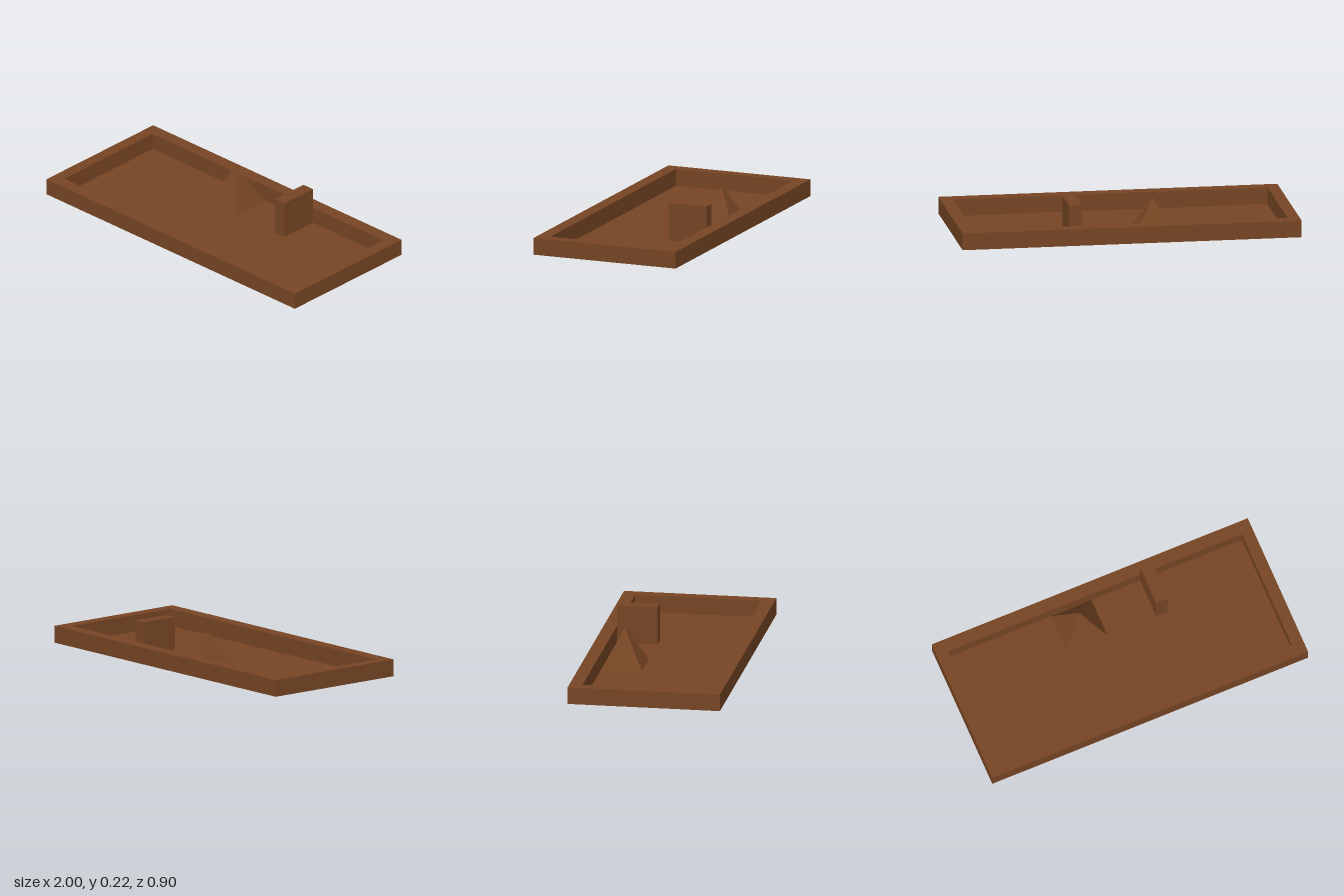
import * as THREE from 'three';

// Rectangles on the ground plane: [x0, x1, z0, z1]
const OUTER = [-1, 1, -0.45, 0.45];
const INNER = [-0.93, 0.93, -0.373, 0.373];
const PYRAMID = [-0.28, -0.022, -0.372, -0.132];
const BLOCK = [0.285, 0.36, -0.372, -0.132];
const RIM_Y = 0.1;
const PEAK_Y = 0.225;

function rectPoints([x0, x1, z0, z1]) {
  return [[x0, -z1], [x1, -z1], [x1, -z0], [x0, -z0]].map(([x, y]) => new THREE.Vector2(x, y));
}

// Horizontal sheet at height y with rectangular openings
function sheet(rect, y, openings = []) {
  const shape = new THREE.Shape(rectPoints(rect));
  for (const o of openings) shape.holes.push(new THREE.Path(rectPoints(o).reverse()));
  return new THREE.ShapeGeometry(shape).rotateX(-Math.PI / 2).translate(0, y, 0);
}

// Four walls without caps, rising from y = 0; taper 0 brings them to a point
function walls([x0, x1, z0, z1], height, taper = 1) {
  const geo = new THREE.CylinderGeometry(Math.SQRT1_2 * taper, Math.SQRT1_2, 1, 4, 1, true)
    .rotateY(Math.PI / 4)
    .scale(x1 - x0, height, z1 - z0)
    .translate((x0 + x1) / 2, height / 2, (z0 + z1) / 2)
    .toNonIndexed();
  geo.computeVertexNormals();
  return geo;
}

export function createModel() {
  const model = new THREE.Group();
  model.name = 'tray';
  const brown = new THREE.MeshStandardMaterial({ color: 0x764524, side: THREE.DoubleSide });
  brown.name = 'brown';

  const add = (name, geometry) => {
    const mesh = new THREE.Mesh(geometry, brown);
    mesh.name = name;
    model.add(mesh);
  };

  // Thin-walled tray, hollow beneath its rim
  add('outerWalls', walls(OUTER, RIM_Y));
  add('rim', sheet(OUTER, RIM_Y, [INNER]));
  add('innerWalls', walls(INNER, RIM_Y));

  // Floor, open beneath the two raised shapes; their back edges sit just inside the rim
  add('floor', sheet(INNER, 0, [PYRAMID, BLOCK]));

  // Raised shapes
  add('pyramid', walls(PYRAMID, PEAK_Y, 0));
  add('blockWalls', walls(BLOCK, PEAK_Y));
  add('blockTop', sheet(BLOCK, PEAK_Y));

  return model;
}
